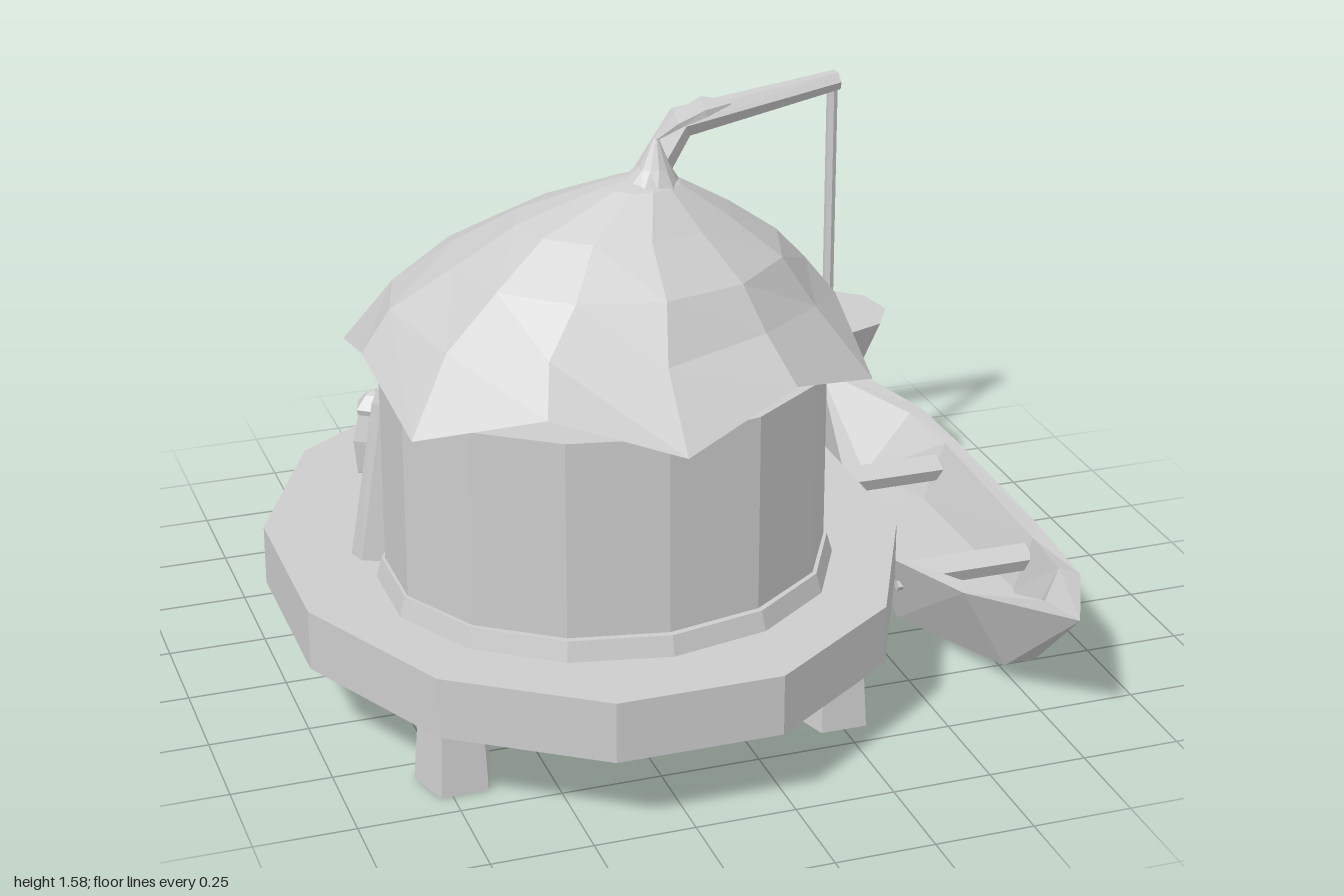
import * as THREE from 'three';

const V = (x, y, z) => new THREE.Vector3(x, y, z);

// Skin between closed rings of equal point count, with optional end caps
function loft(rings, caps = true) {
  const n = rings[0].length, pos = [];
  const tri = (...ps) => ps.forEach(p => pos.push(p.x, p.y, p.z));
  const centre = r => r.reduce((s, p) => s.add(p), V(0, 0, 0)).divideScalar(n);
  for (let i = 0; i < rings.length - 1; i++) {
    for (let j = 0; j < n; j++) {
      const k = (j + 1) % n;
      const a = rings[i][j], b = rings[i][k], c = rings[i + 1][k], d = rings[i + 1][j];
      tri(a, b, d);
      tri(b, c, d);
    }
  }
  if (caps) {
    const first = rings[0], last = rings[rings.length - 1];
    const c0 = centre(first), c1 = centre(last);
    for (let j = 0; j < n; j++) {
      const k = (j + 1) % n;
      tri(c0, first[k], first[j]);
      tri(c1, last[j], last[k]);
    }
  }
  const g = new THREE.BufferGeometry();
  g.setAttribute('position', new THREE.Float32BufferAttribute(pos, 3));
  g.computeVertexNormals();
  return g;
}

// Tapered beam along a path; flat squashes its section
function beam(path, radii, sides, flat = 1) {
  return loft(path.map((p, i) => {
    const t = path[Math.min(i + 1, path.length - 1)].clone().sub(path[Math.max(i - 1, 0)]).normalize();
    const n = V(0, 0, 1).cross(t).normalize();
    const b = t.clone().cross(n);
    return Array.from({ length: sides }, (_, j) => {
      const a = (j + 0.5) / sides * Math.PI * 2;
      return p.clone().addScaledVector(n, Math.cos(a) * radii[i] * flat).addScaledVector(b, Math.sin(a) * radii[i]);
    });
  }));
}

// Pointed arch outline standing on y = 0
function archPath(Type, w, h) {
  const s = new Type();
  s.moveTo(-w, 0);
  s.lineTo(w, 0);
  s.lineTo(w, h * 0.55);
  s.lineTo(w * 0.65, h * 0.82);
  s.lineTo(0, h);
  s.lineTo(-w * 0.65, h * 0.82);
  s.lineTo(-w, h * 0.55);
  s.closePath();
  return s;
}

export function createModel() {
  const root = new THREE.Group();
  // Platform, legs, roof and boat are open shells, so both sides show
  const clay = new THREE.MeshStandardMaterial({ color: 0xcccccc, flatShading: true, side: THREE.DoubleSide });
  clay.name = 'plain grey';

  const add = (name, geo, x = 0, y = 0, z = 0) => {
    const m = new THREE.Mesh(geo, clay);
    m.name = name;
    m.position.set(x, y, z);
    root.add(m);
    return m;
  };
  const lathe = (pts, sides) => new THREE.LatheGeometry(pts.map(p => new THREE.Vector2(...p)), sides);

  // Platform: a deck with a rim, hollow underneath
  const px = -0.234, pz = 0.067, turn = Math.PI / 12;
  add('platformRim', new THREE.CylinderGeometry(1, 1, 0.155, 12, 1, true, turn).scale(0.795, 1, 0.952), px, 0.2775, pz);
  add('platformDeck', new THREE.CircleGeometry(1, 12, turn).rotateX(-Math.PI / 2).scale(0.795, 1, 0.952), px, 0.355, pz);

  // Hollow legs
  for (const x of [-0.72, 0.25]) {
    for (const z of [-0.44, 0.6]) {
      add('leg', new THREE.CylinderGeometry(0.082, 0.1, 0.25, 5, 1, true, Math.PI), x, 0.125, z);
    }
  }

  // Round house
  const hx = -0.24, hz = 0.295;
  add('wall', new THREE.CylinderGeometry(1, 1, 0.55, 14).scale(0.55, 1, 0.49), hx, 0.628, hz);
  add('wallSkirt', new THREE.CylinderGeometry(0.975, 1, 0.05, 14).scale(0.572, 1, 0.52), hx, 0.38, hz);

  // Hollow roof with a zigzag rim; upper rings drift towards the tip
  const ring = (cx, cz, fn) => Array.from({ length: 12 }, (_, k) => {
    const [rx, y, rz = rx] = fn(k % 2, k % 6 === 0);
    const a = k * Math.PI / 6;
    return V(cx + Math.sin(a) * rx, y, cz + Math.cos(a) * rz);
  });
  add('roof', loft([
    ring(hx, 0.29, (odd, end) => odd ? [0.6, 1.0] : [end ? 0.62 : 0.655, 0.906]),
    ring(-0.243, 0.285, odd => [0.525, odd ? 1.1 : 1.075, 0.492]),
    ring(-0.22, 0.335, () => [0.405, 1.205, 0.365]),
    ring(-0.215, 0.365, () => [0.265, 1.305, 0.215]),
    ring(-0.18, 0.405, () => [0.095, 1.39, 0.08]),
    ring(-0.15, 0.415, () => [0.004, 1.42]),
  ], false));
  add('roofTip', loft([
    ring(-0.165, 0.405, odd => [odd ? 0.085 : 0.07, odd ? 1.375 : 1.39]),
    ring(-0.155, 0.415, () => [0.04, 1.43]),
    ring(-0.15, 0.415, () => [0.006, 1.5]),
  ]));
  add('leaf', beam(
    [V(-0.15, 1.495, 0.415), V(-0.1, 1.54, 0.425), V(-0.04, 1.572, 0.44), V(0.02, 1.58, 0.455)],
    [0.008, 0.045, 0.062, 0.012], 4, 0.2));

  // Back door
  const frame = archPath(THREE.Shape, 0.165, 0.425);
  frame.holes.push(archPath(THREE.Path, 0.135, 0.385));
  const slab = (shape, depth) => new THREE.ExtrudeGeometry(shape, { depth, bevelEnabled: false });
  add('doorFrame', slab(frame, 0.055), hx, 0.36, -0.203);
  add('door', slab(archPath(THREE.Shape, 0.137, 0.387), 0.05), hx, 0.36, -0.197);
  add('doorKnob', new THREE.IcosahedronGeometry(0.012), -0.19, 0.52, -0.242);
  add('doorStep', new THREE.BoxGeometry(0.36, 0.035, 0.1), hx, 0.373, -0.225);

  // Leaning side posts, reaching up inside the eaves, with hanging lanterns
  for (const s of [-1, 1]) {
    add('sidePost', beam(
      [V(hx + s * 0.54, 0.36, 0.09), V(hx + s * 0.465, 0.72, -0.005), V(hx + s * 0.33, 0.96, -0.115)],
      [0.065, 0.05, 0.035], 4));
    const x = hx + s * 0.43;
    add('lantern', lathe([[0, 0.605], [0.03, 0.61], [0.045, 0.65], [0.045, 0.685], [0.025, 0.72], [0.025, 0.735], [0, 0.74]], 6), x, 0, -0.04);
    add('lanternCord', new THREE.CylinderGeometry(0.006, 0.006, 0.15, 5), x, 0.8, -0.04);
  }

  // Stump, set through the deck
  add('deckStump', lathe([[0.05, 0.34], [0.058, 0.36], [0.068, 0.45], [0.05, 0.52], [0.055, 0.535], [0.025, 0.57], [0, 0.58]], 5), -0.64, 0, -0.44);

  // Crane with a rope and bucket
  add('craneArm', beam(
    [V(0.06, 0.34, -0.53), V(0.065, 0.9, -0.545), V(0.25, 1.185, -0.555), V(0.7, 1.255, -0.56)],
    [0.066, 0.055, 0.045, 0.028], 6));
  add('rope', new THREE.CylinderGeometry(0.015, 0.015, 0.68, 6), 0.685, 0.91, -0.56);
  add('bucket', new THREE.CylinderGeometry(0.165, 0.09, 0.175, 9), 0.685, 0.4925, -0.56);

  // Boat stations: z, rim half-width, rim y, bottom half-width, bottom y,
  // then inner z, inner half-width, floor half-width, floor y
  const stations = [
    [-0.99, 0, 0.33, 0, 0.33, -0.8, 0, 0, 0.3],
    [-0.54, 0.21, 0.255, 0.04, 0.05, -0.52, 0.165, 0.03, 0.09],
    [-0.34, 0.232, 0.235, 0.14, 0.015, -0.34, 0.195, 0.135, 0.075],
    [0.17, 0.238, 0.215, 0.155, 0, 0.25, 0.19, 0.14, 0.075],
    [0.59, 0.16, 0.275, 0.04, 0.05, 0.54, 0.125, 0.02, 0.09],
    [0.915, 0, 0.33, 0, 0.33, 0.72, 0, 0, 0.29],
  ];
  const bx = 0.762;
  add('boatHull', loft(stations.map(([z, w, y, bw, by, iz, iw, fw, fy]) => {
    const iy = w ? y : fy;
    const keel = w ? 0.055 : y;
    return [
      V(-w, y, z), V(-bw, by, z), V(0, keel, z), V(bw, by, z), V(w, y, z),
      V(iw, iy, iz), V(fw, fy, iz), V(-fw, fy, iz), V(-iw, iy, iz),
    ];
  })), bx);
  for (const z of [-0.33, 0.26]) {
    add('boatSeat', new THREE.BoxGeometry(0.345, 0.04, 0.06).rotateX(0.4), bx, 0.17, z);
    add('seatPeg', new THREE.CylinderGeometry(0.014, 0.014, 0.4, 5).rotateZ(Math.PI / 2), bx, 0.145, z);
  }

  return root;
}
